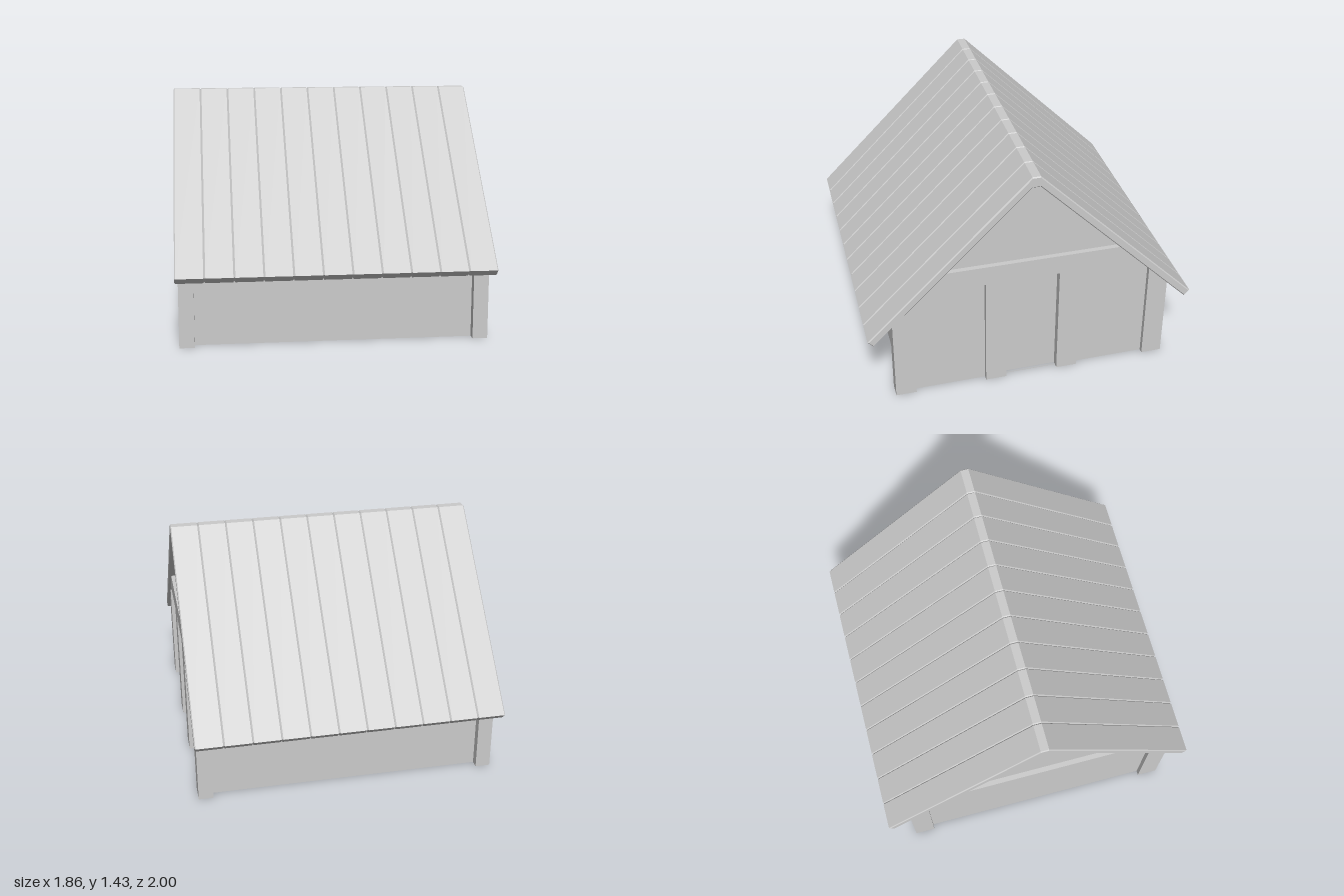
import * as THREE from 'three';

const material = new THREE.MeshStandardMaterial({ color: 0xcccccc, flatShading: true });
const roofLine = z => 1.39 - Math.abs(z); // underside of the 45 degree roof
const toPoints = list => list.map(([z, y]) => new THREE.Vector2(-z, y));

// Extrudes a (z, y) outline along x from x0 to x1, optionally with a hole and a chamfer
function extrudeX(name, outline, x0, x1, { hole, bevel = 0 } = {}) {
  const shape = new THREE.Shape(toPoints(outline));
  if (hole) shape.holes.push(new THREE.Path(toPoints(hole)));
  const geometry = new THREE.ExtrudeGeometry(shape, {
    depth: x1 - x0 - 2 * bevel,
    bevelEnabled: bevel > 0,
    bevelThickness: bevel,
    bevelSize: bevel,
    bevelOffset: -bevel,
    bevelSegments: 1,
  });
  geometry.rotateY(Math.PI / 2);
  geometry.translate(x0 + bevel, 0, 0);
  const mesh = new THREE.Mesh(geometry, material);
  mesh.name = name;
  return mesh;
}

// Upright outline between two z values, cut off along the roof or at a given height
const upright = (z0, z1, top = roofLine) => [[z0, 0], [z1, 0], [z1, top(z1)], [z0, top(z0)]];

export function createModel() {
  const model = new THREE.Group();
  model.name = 'cabin';

  // Roof: a row of chamfered boards bent over the ridge
  const roof = new THREE.Group();
  roof.name = 'roof';
  const chevron = [
    [-1, 0.455], [-0.967, 0.42], [-0.025, 1.362], [0.025, 1.362],
    [0.967, 0.42], [1, 0.455], [0.025, 1.43], [-0.025, 1.43],
  ];
  const boards = 11, halfLength = 0.932, width = (2 * halfLength) / boards;
  for (let i = 0; i < boards; i++) {
    const x = -halfLength + i * width;
    roof.add(extrudeX('roofBoard', chevron, x, x + width, { bevel: 0.006 }));
  }
  model.add(roof);

  // Long walls, recessed behind the corner posts
  for (const s of [1, -1]) {
    model.add(extrudeX('longWall', upright(s * 0.77, s * 0.8), -0.86, 0.86));
  }

  // Gable walls; the right-hand one in +x has a door opening
  const gable = [
    [-0.79, 0], [0.79, 0], [0.79, roofLine(0.79)],
    [0.025, 1.365], [-0.025, 1.365], [-0.79, roofLine(0.79)],
  ];
  const opening = [[-0.2, 0.005], [0.2, 0.005], [0.2, 0.75], [-0.2, 0.75]];
  model.add(extrudeX('gableWall', gable, -0.885, -0.855));
  model.add(extrudeX('gableWall', gable, 0.855, 0.885, { hole: opening }));
  model.add(extrudeX('door', upright(-0.22, 0.22, () => 0.75), 0.835, 0.865));

  // Corner posts and tie beams on both gables
  const beam = [
    [-roofLine(0.73), 0.73], [roofLine(0.73), 0.73],
    [roofLine(0.855), 0.855], [-roofLine(0.855), 0.855],
  ];
  for (const [x0, x1] of [[-0.915, -0.825], [0.825, 0.915]]) {
    model.add(extrudeX('tieBeam', beam, x0, x1));
    for (const s of [1, -1]) {
      model.add(extrudeX('cornerPost', upright(s * 0.725, s * 0.85), x0, x1));
    }
  }

  // Door posts
  for (const s of [1, -1]) {
    model.add(extrudeX('doorPost', upright(s * 0.16, s * 0.29, () => 0.73), 0.825, 0.915));
  }

  return model;
}
